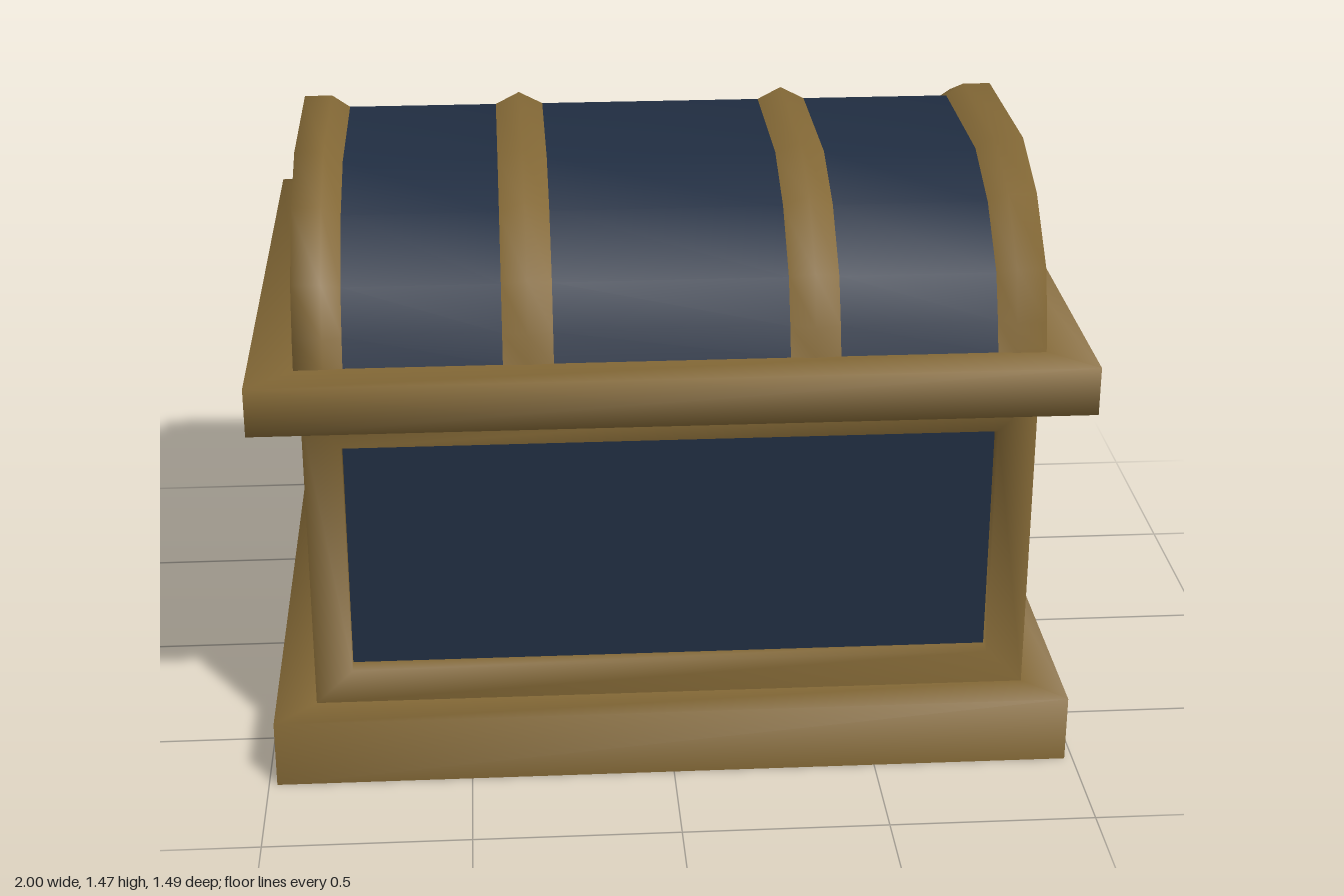
import * as THREE from 'three';
import { mergeGeometries, mergeVertices } from 'three/addons/utils/BufferGeometryUtils.js';

const gold = new THREE.MeshStandardMaterial({ color: 0x836836, side: THREE.DoubleSide });
gold.name = 'antique gold';
const navy = new THREE.MeshStandardMaterial({ color: 0x202d41, side: THREE.DoubleSide });
navy.name = 'dark navy';

// Skin a list of cross-sections, each an equal-length list of [x, y, z], with soft normals
function loft(sections, closed) {
  const n = sections[0].length, index = [];
  for (let i = 0; i < sections.length - 1; i++) {
    for (let j = 0; j < (closed ? n : n - 1); j++) {
      const k = (j + 1) % n;
      const a = i * n + j, b = i * n + k, c = b + n, d = a + n;
      index.push(a, b, c, a, c, d);
    }
  }
  const geo = new THREE.BufferGeometry();
  geo.setAttribute('position', new THREE.Float32BufferAttribute(sections.flat(2), 3));
  geo.setIndex(index);
  geo.computeVertexNormals();
  return geo;
}

// Weld pieces together so shading flows around their shared corners
function weld(pieces) {
  const merged = mergeGeometries(pieces);
  merged.deleteAttribute('normal');
  const geo = mergeVertices(merged, 1e-4);
  geo.computeVertexNormals();
  return geo;
}

function add(parent, name, geo, mat) {
  const mesh = new THREE.Mesh(geo, mat);
  mesh.name = name;
  parent.add(mesh);
  return mesh;
}

// Horizontal rectangular ring and upright rectangle
const ring = ([x, y, z]) => [[-x, y, z], [x, y, z], [x, y, -z], [-x, y, -z]];
const upright = (w, y0, y1, z) => [[-w, y0, z], [w, y0, z], [w, y1, z], [-w, y1, z]];

// Lid arches as half profiles [z, y], mirrored to run from back to front
const arch = (half) => [...half.map(([z, y]) => [-z, y]), ...half.slice().reverse()];
const outer = arch([[0.64, 1.07], [0.625, 1.14], [0.58, 1.26], [0.425, 1.395], [0.23, 1.47]]);
const skin = arch([[0.635, 1.07], [0.61, 1.14], [0.56, 1.245], [0.41, 1.37], [0.22, 1.442]]);
const inner = arch([[0.545, 1.07], [0.52, 1.15], [0.45, 1.28], [0.35, 1.35], [0.18, 1.405]]);
const at = (x, profile) => profile.map(([z, y]) => [x, y, z]);

const WALL_RECESS = 0.045;
const CAP_X = 0.85;

export function createModel() {
  const chest = new THREE.Group();
  chest.name = 'chest';

  // Hollow plinth and projecting rim
  add(chest, 'plinth', loft([[0.98, 0, 0.725], [0.98, 0.17, 0.725], [0.88, 0.17, 0.625]].map(ring), true), gold);
  add(chest, 'rim', loft([[0.88, 0.95, 0.625], [1, 0.95, 0.745], [1, 1.07, 0.745], [0.87, 1.07, 0.62]].map(ring), true), gold);

  // Four walls: one welded frame with a recessed panel on each side
  const frames = [];
  const walls = [['front', 0.88, 0.625], ['left', 0.625, 0.88], ['back', 0.88, 0.625], ['right', 0.625, 0.88]];
  walls.forEach(([name, w, depth], i) => {
    const turn = i * Math.PI / 2, o = w - 0.092;
    const back = depth - WALL_RECESS;
    frames.push(loft([
      upright(w, 0.17, 0.95, depth),
      upright(o, 0.257, 0.86, depth),
      upright(o, 0.257, 0.86, back),
    ], true).rotateY(turn));
    const panel = new THREE.PlaneGeometry(2 * o, 0.603).translate(0, 0.5585, back).rotateY(turn);
    add(chest, name + 'Panel', panel, navy);
  });
  add(chest, 'wallFrame', weld(frames), gold);

  // Lid covering between the bands
  const lid = new THREE.Group();
  lid.name = 'lid';
  chest.add(lid);
  for (const [x0, x1] of [[-0.775, -0.4], [-0.28, 0.28], [0.4, 0.775]]) {
    add(lid, 'lidCover', loft([at(x0, skin), at(x1, skin)]), navy);
  }

  // Ridged middle bands
  for (const x of [-0.34, 0.34]) {
    add(lid, 'middleBand', loft([at(x - 0.06, skin), at(x, outer), at(x + 0.06, skin)]), gold);
  }

  // End bands wrapping onto the end faces, and recessed end panels
  const endShape = new THREE.Shape(inner.map(([z, y]) => new THREE.Vector2(z, y)));
  for (const s of [-1, 1]) {
    const sections = [[0.775, skin], [0.82, outer], [0.89, outer], [0.89, inner], [CAP_X, inner]]
      .map(([x, profile]) => at(s * x, profile));
    if (s < 0) sections.reverse();
    add(lid, 'endBand', loft(sections), gold);
    const panel = add(lid, 'endPanel', new THREE.ShapeGeometry(endShape), navy);
    panel.rotation.y = s * Math.PI / 2;
    panel.position.x = s * CAP_X;
  }
  return chest;
}
